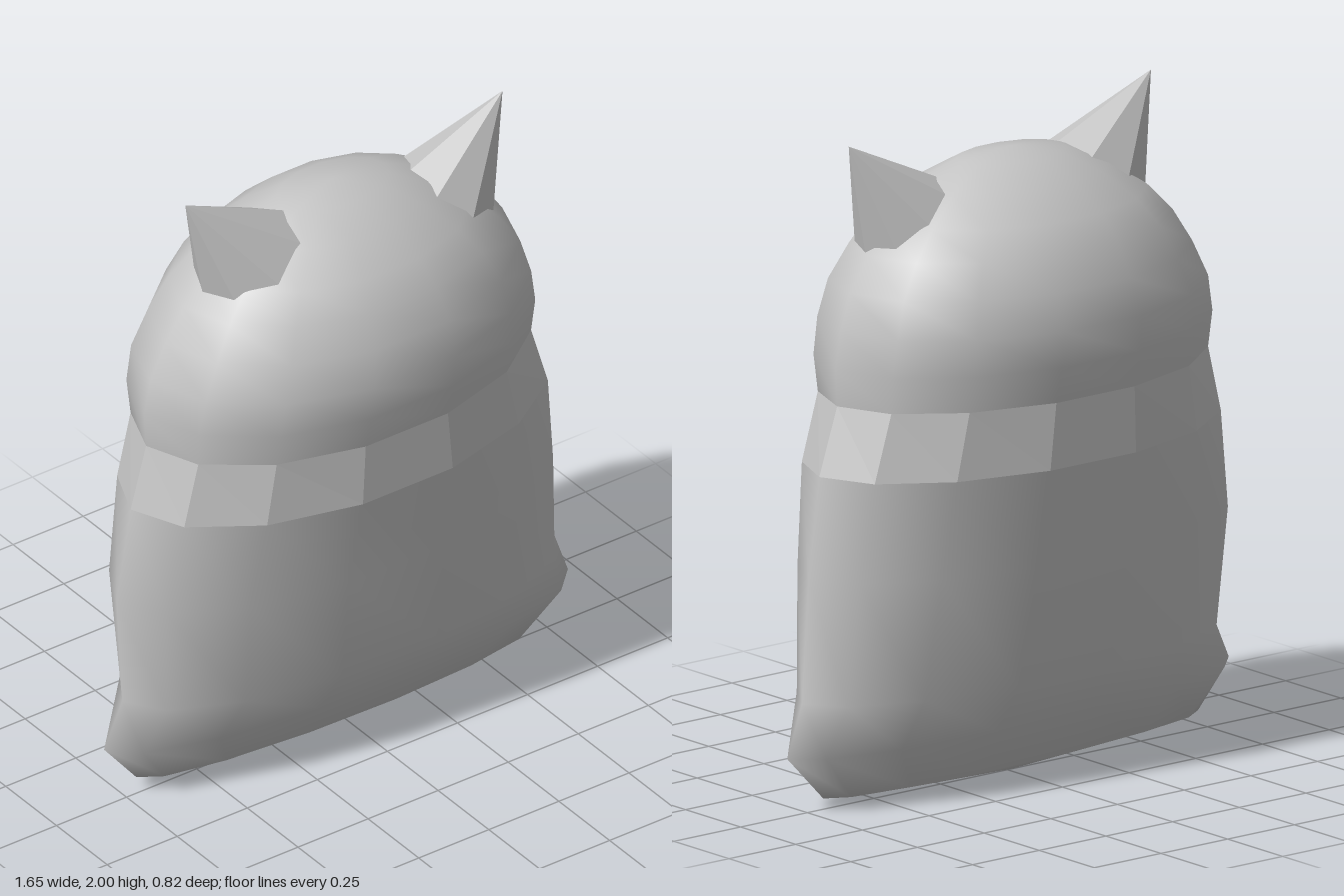
import * as THREE from 'three';

const SIDES = 14;

// Lofts elliptical rings [y, xMin, xMax, zHalf, tilt]; optional poles [x, y] close the ends.
function loft(rings, bottomPole, topPole) {
  const pos = [], index = [];
  for (const [y, x0, x1, z, tilt = 0] of rings) {
    for (let i = 0; i < SIDES; i++) {
      const t = (i / SIDES) * Math.PI * 2, c = Math.cos(t);
      pos.push((x0 + x1) / 2 + c * (x1 - x0) / 2, y - tilt * c, Math.sin(t) * z / 0.975);
    }
  }
  for (let r = 0; r < rings.length - 1; r++) {
    for (let i = 0; i < SIDES; i++) {
      const a = r * SIDES + i, b = r * SIDES + (i + 1) % SIDES;
      index.push(a, a + SIDES, b + SIDES, a, b + SIDES, b);
    }
  }
  const addPole = ([x, y], start, up) => {
    const p = pos.length / 3;
    pos.push(x, y, 0);
    for (let i = 0; i < SIDES; i++) {
      const a = start + i, b = start + (i + 1) % SIDES;
      if (up) index.push(p, b, a);
      else index.push(p, a, b);
    }
  };
  if (bottomPole) addPole(bottomPole, 0, false);
  if (topPole) addPole(topPole, (rings.length - 1) * SIDES, true);
  const g = new THREE.BufferGeometry();
  g.setAttribute('position', new THREE.Float32BufferAttribute(pos, 3));
  g.setIndex(index);
  g.computeVertexNormals();
  return g;
}

export function createModel() {
  const group = new THREE.Group();
  const grey = new THREE.MeshStandardMaterial({ color: 0xc4c4c4 });
  grey.name = 'grey';

  const add = (name, geometry) => {
    const mesh = new THREE.Mesh(geometry, grey);
    mesh.name = name;
    group.add(mesh);
    return mesh;
  };
  const flat = (geometry) => {
    const g = geometry.toNonIndexed();
    g.computeVertexNormals();
    return g;
  };

  const bandLow = [1.0, -0.735, 0.705, 0.372];
  const bandHigh = [1.2, -0.68, 0.638, 0.375];

  // Sack-like body with flared bottom corners
  add('body', loft([
    [0.047, -0.715, 0.69, 0.095, 0.012],
    [0.188, -0.83, 0.825, 0.18, 0.012],
    [0.338, -0.765, 0.77, 0.26, 0.006],
    [0.7, -0.785, 0.745, 0.32],
    bandLow,
  ], [-0.02, 0.003]));

  // Faceted neck band
  add('neckBand', flat(loft([bandLow, bandHigh])));

  // Domed head
  add('head', loft([
    bandHigh,
    [1.31, -0.687, 0.645, 0.402],
    [1.42, -0.665, 0.625, 0.412],
    [1.53, -0.61, 0.59, 0.387],
    [1.63, -0.545, 0.52, 0.345],
    [1.71, -0.465, 0.435, 0.29],
    [1.79, -0.34, 0.31, 0.205],
    [1.85, -0.2, 0.17, 0.11],
  ], null, [-0.015, 1.87]));

  // Pointed ears: faceted cones sunk into the head, each placed by its tip
  const ears = [
    ['rightEar', -1, new THREE.Vector3(-0.555, 2.0, 0.02)],
    ['leftEar', 1, new THREE.Vector3(0.57, 1.96, 0.03)],
  ];
  for (const [name, side, tip] of ears) {
    const cone = new THREE.ConeGeometry(0.22, 0.42, 8);
    cone.translate(0, -0.21, 0);
    cone.scale(1, 1, 0.85);
    const ear = add(name, flat(cone));
    ear.rotation.z = -side * 0.67;
    ear.position.copy(tip);
  }
  return group;
}
